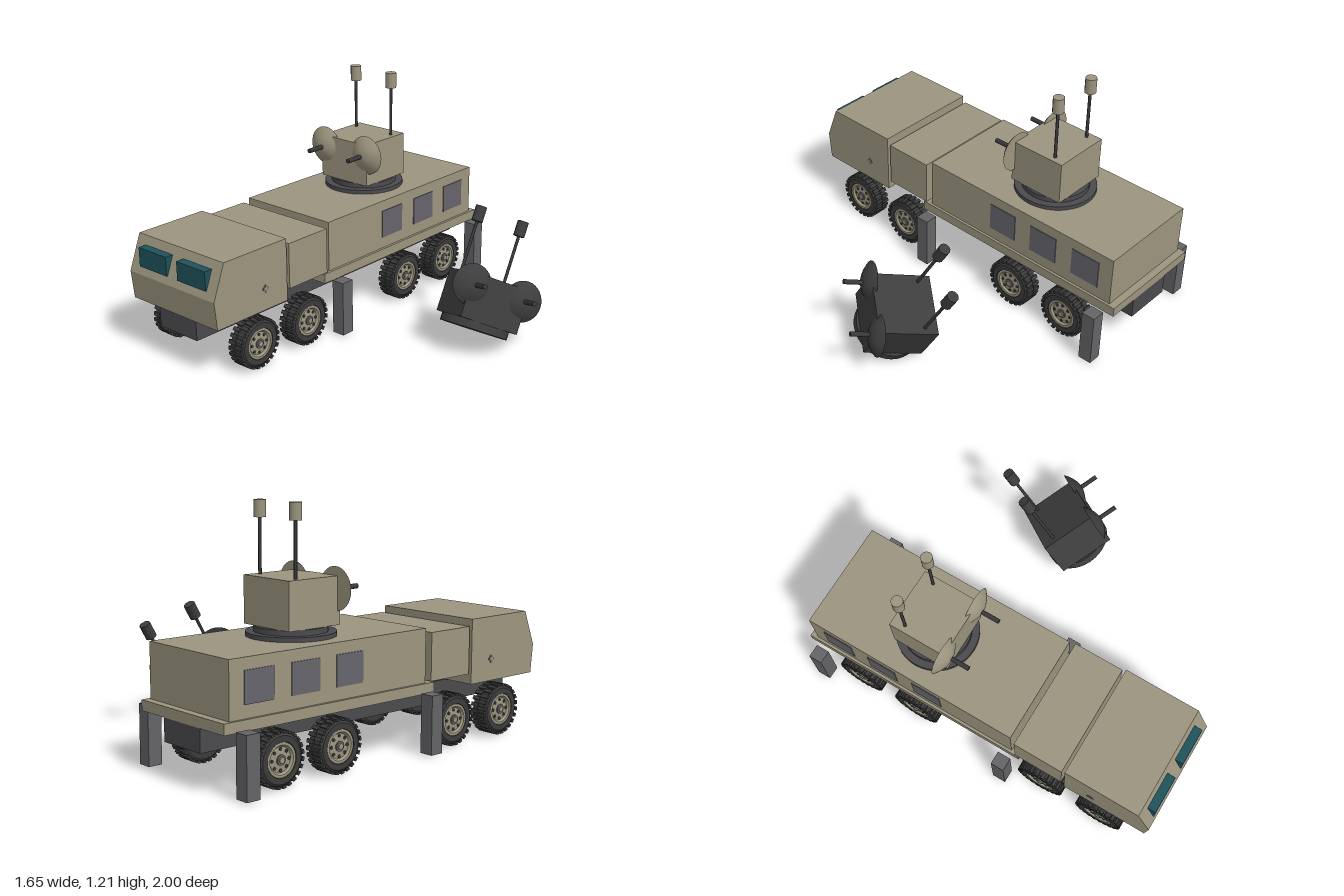
import * as THREE from 'three';
import { toCreasedNormals } from 'three/addons/utils/BufferGeometryUtils.js';

const mat = (name, color) => new THREE.MeshStandardMaterial({ name, color });

export function createModel() {
  const sand = mat('sand paint', 0x9c957f);
  const chassisGrey = mat('chassis grey', 0x4b4b4f);
  const legGrey = mat('leg grey', 0x646468);
  const panelGrey = mat('panel grey', 0x67656c);
  const glass = mat('windscreen glass', 0x1f525c);
  const rubber = mat('tyre rubber', 0x3b3b3b);
  const dark = mat('dark metal', 0x38383b);
  const charred = mat('charred metal', 0x3d3d3d);

  const add = (parent, name, geo, material, x = 0, y = 0, z = 0) => {
    const m = new THREE.Mesh(geo, material);
    m.name = name;
    m.position.set(x, y, z);
    parent.add(m);
    return m;
  };
  // Box given by its width and its y and z ranges
  const slab = (parent, name, material, w, y0, y1, z0, z1, x = 0) =>
    add(parent, name, new THREE.BoxGeometry(w, y1 - y0, z1 - z0), material, x, (y0 + y1) / 2, (z0 + z1) / 2);
  const cyl = (r, h, n = 32) => new THREE.CylinderGeometry(r, r, h, n);
  const lathe = (pts, n) => toCreasedNormals(
    new THREE.LatheGeometry(pts.map(p => new THREE.Vector2(...p)), n), 0.6);

  // Radar turret, origin on the vehicle roof
  const dishProfile = [[0, 0], [0.103, 0]];
  for (let i = 1; i <= 8; i++) {
    const t = i / 8;
    dishProfile.push([0.103 * (1 - t), 0.045 * (1 - (1 - t) ** 2)]);
  }
  const dishGeo = lathe(dishProfile, 32);
  const makeTurret = (name, body, rod, ring) => {
    const g = new THREE.Group();
    g.name = name;
    add(g, 'turntable', cyl(0.173, 0.04), ring, 0, 0.005, 0);
    slab(g, 'turretBox', body, 0.315, 0.025, 0.25, -0.148, 0.158);
    for (const s of [-1, 1]) {
      add(g, 'dish', dishGeo, body, s * 0.143, 0.19, 0.142).rotation.x = Math.PI / 2;
      add(g, 'dishFeed', cyl(0.012, 0.12, 12), rod, s * 0.137, 0.19, 0.222).rotation.x = Math.PI / 2;
      add(g, 'antennaRod', cyl(0.008, 0.27, 10), rod, s * 0.123, 0.38, -0.08);
      add(g, 'antennaCap', cyl(0.029, 0.08, 12), body, s * 0.123, 0.55, -0.08);
    }
    return g;
  };

  // Wheel with its outer face toward +y
  const tyreGeo = lathe([[0, -0.045], [0.105, -0.045], [0.121, -0.034], [0.121, 0.034],
    [0.107, 0.045], [0.08, 0.045], [0.076, 0.028]], 36);
  const lugGeo = new THREE.BoxGeometry(0.012, 0.042, 0.019);
  const hubGeo = lathe([[0.078, 0.026], [0.078, 0.043], [0.066, 0.043], [0.058, 0.032], [0.03, 0.036], [0, 0.036]], 32);
  const makeWheel = () => {
    const g = new THREE.Group();
    g.name = 'wheel';
    add(g, 'tyre', tyreGeo, rubber);
    for (let i = 0; i < 48; i++) {
      const a = (i / 48) * Math.PI * 2;
      const lug = add(g, 'treadLug', lugGeo, rubber, 0.123 * Math.cos(a), i % 2 ? 0.022 : -0.022, 0.123 * Math.sin(a));
      lug.rotation.y = -a;
    }
    add(g, 'rim', hubGeo, sand);
    for (let i = 0; i < 8; i++) {
      const a = (i / 8) * Math.PI * 2;
      add(g, 'rimHole', cyl(0.008, 0.006, 10), dark, 0.047 * Math.cos(a), 0.034, 0.047 * Math.sin(a));
    }
    add(g, 'hubFlange', cyl(0.024, 0.012, 20), legGrey, 0, 0.036, 0);
    add(g, 'hubCap', cyl(0.014, 0.02, 16), sand, 0, 0.038, 0);
    return g;
  };

  const model = new THREE.Group();
  model.name = 'radarVehicle';
  const truck = new THREE.Group();
  truck.name = 'truck';
  truck.position.x = -0.434;
  model.add(truck);

  // Chassis, deck and bodies
  slab(truck, 'chassis', chassisGrey, 0.26, 0.175, 0.285, -0.998, 0.97);
  slab(truck, 'deck', sand, 0.596, 0.285, 0.335, -1, 0.26);
  slab(truck, 'rearBody', sand, 0.568, 0.335, 0.597, -0.962, 0.213);
  slab(truck, 'middleBody', sand, 0.594, 0.34, 0.575, 0.24, 0.508);

  // Cab with a slanted nose
  const cabShape = new THREE.Shape([[0.526, 0.285], [0.985, 0.285], [1, 0.43], [0.93, 0.608], [0.526, 0.608]]
    .map(p => new THREE.Vector2(...p)));
  const cabGeo = new THREE.ExtrudeGeometry(cabShape, { depth: 0.596, bevelEnabled: false });
  cabGeo.translate(0, 0, -0.298).rotateY(-Math.PI / 2);
  add(truck, 'cab', cabGeo, sand);

  for (const s of [-1, 1]) {
    slab(truck, 'windscreen', glass, 0.197, 0.467, 0.565, 0.93, 0.991, s * 0.136);

    // Door badge plates, a diamond frame with a painted centre
    const plate = add(truck, 'doorDiamond', cyl(0.022, 0.004, 4), legGrey, s * 0.298, 0.395, 0.672);
    plate.rotation.z = Math.PI / 2;
    const inset = add(truck, 'doorDiamondCentre', cyl(0.014, 0.006, 4), sand, s * 0.298, 0.395, 0.672);
    inset.rotation.z = Math.PI / 2;

    // Side panels on the rear body
    for (const z of [-0.28, -0.541, -0.802])
      slab(truck, 'sidePanel', panelGrey, 0.008, 0.395, 0.542, z - 0.081, z + 0.081, s * 0.284);

    // Stabiliser legs and the arms that carry them
    for (const z of [0.188, -0.918]) {
      slab(truck, 'stabiliserLeg', legGrey, 0.07, 0.012, 0.297, z - 0.036, z + 0.036, s * 0.353);
    }

    // Wheels and axles
    for (const z of [0.735, 0.392, -0.363, -0.705]) {
      const w = makeWheel();
      w.position.set(s * 0.273, 0.133, z);
      w.rotation.z = -s * Math.PI / 2;
      truck.add(w);
    }
  }

  // Roof ring and working turret
  add(truck, 'roofRing', cyl(0.21, 0.024, 40), chassisGrey, 0, 0.606, -0.38);
  const turret = makeTurret('turret', sand, dark, chassisGrey);
  turret.position.set(0, 0.62, -0.38);
  truck.add(turret);

  // Burnt turret lying tilted beside the truck
  const wreck = makeTurret('burntTurret', charred, dark, charred);
  const X = new THREE.Vector3(0.55, -0.41, -0.73).normalize();
  const Z = new THREE.Vector3().crossVectors(X, new THREE.Vector3(-0.04, 0.87, -0.49)).normalize();
  const Y = new THREE.Vector3().crossVectors(Z, X);
  wreck.quaternion.setFromRotationMatrix(new THREE.Matrix4().makeBasis(X, Y, Z));
  wreck.position.set(0.519, 0.11, -0.12);
  model.add(wreck);

  return model;
}
